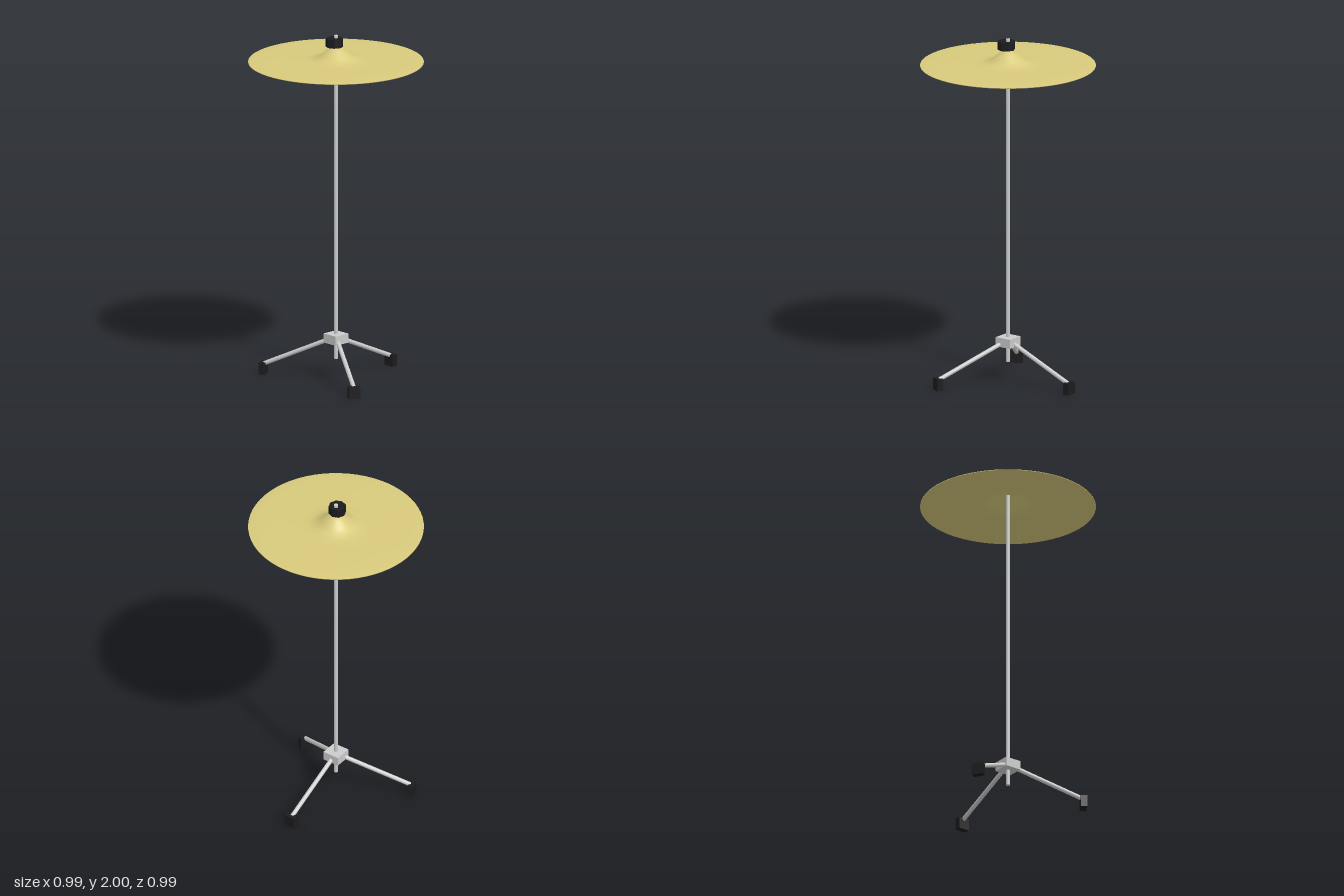
import * as THREE from 'three';

const metal = new THREE.MeshStandardMaterial({ color: 0xcccccc });
const brass = new THREE.MeshStandardMaterial({ color: 0xd8ca7c });
const rubber = new THREE.MeshStandardMaterial({ color: 0x1c1c1e });
const nutBlack = new THREE.MeshStandardMaterial({ color: 0x1c1c1e, flatShading: true });

function add(parent, name, geometry, material, x = 0, y = 0, z = 0) {
  const mesh = new THREE.Mesh(geometry, material);
  mesh.name = name;
  mesh.position.set(x, y, z);
  parent.add(mesh);
  return mesh;
}

// Round rod between two points
function rod(parent, name, a, b, radius) {
  const dir = new THREE.Vector3().subVectors(b, a);
  const mesh = add(parent, name, new THREE.CylinderGeometry(radius, radius, dir.length(), 12), metal);
  mesh.position.copy(a).add(b).multiplyScalar(0.5);
  mesh.quaternion.setFromUnitVectors(new THREE.Vector3(0, 1, 0), dir.normalize());
  return mesh;
}

export function createModel() {
  const model = new THREE.Group();
  model.name = 'cymbalStand';

  // Centre pole and the block that holds the legs
  rod(model, 'pole', new THREE.Vector3(0, 0.12, 0), new THREE.Vector3(0, 2, 0), 0.0125);
  add(model, 'legHub', new THREE.BoxGeometry(0.1, 0.053, 0.1), metal, 0, 0.238, 0);

  // Three legs with upright block feet
  for (let i = 0; i < 3; i++) {
    const leg = new THREE.Group();
    leg.name = 'leg' + (i + 1);
    leg.rotation.y = (i * Math.PI * 2) / 3;
    rod(leg, 'legTube', new THREE.Vector3(0.02, 0.238, 0), new THREE.Vector3(0.42, 0.06, 0), 0.0125);
    add(leg, 'foot', new THREE.BoxGeometry(0.036, 0.068, 0.066), rubber, 0.427, 0.034, 0);
    model.add(leg);
  }

  // Thin cymbal shell: top curve from bell to rim, underside offset below it
  const top = [
    [0.012, 1.932], [0.03, 1.926], [0.055, 1.911], [0.085, 1.887], [0.115, 1.869],
    [0.15, 1.86], [0.2, 1.857], [0.3, 1.855], [0.43, 1.852], [0.494, 1.848],
  ].map(([r, y]) => new THREE.Vector2(r, y));
  const under = top.map((p) => new THREE.Vector2(p.x, p.y - 0.004));
  add(model, 'cymbal', new THREE.LatheGeometry([...under, ...top.reverse()], 64), brass);

  // Eight-sided wing nut, slightly off the pole axis
  add(model, 'topNut', new THREE.CylinderGeometry(0.049, 0.049, 0.049, 8), nutBlack, -0.012, 1.961, 0);

  return model;
}
